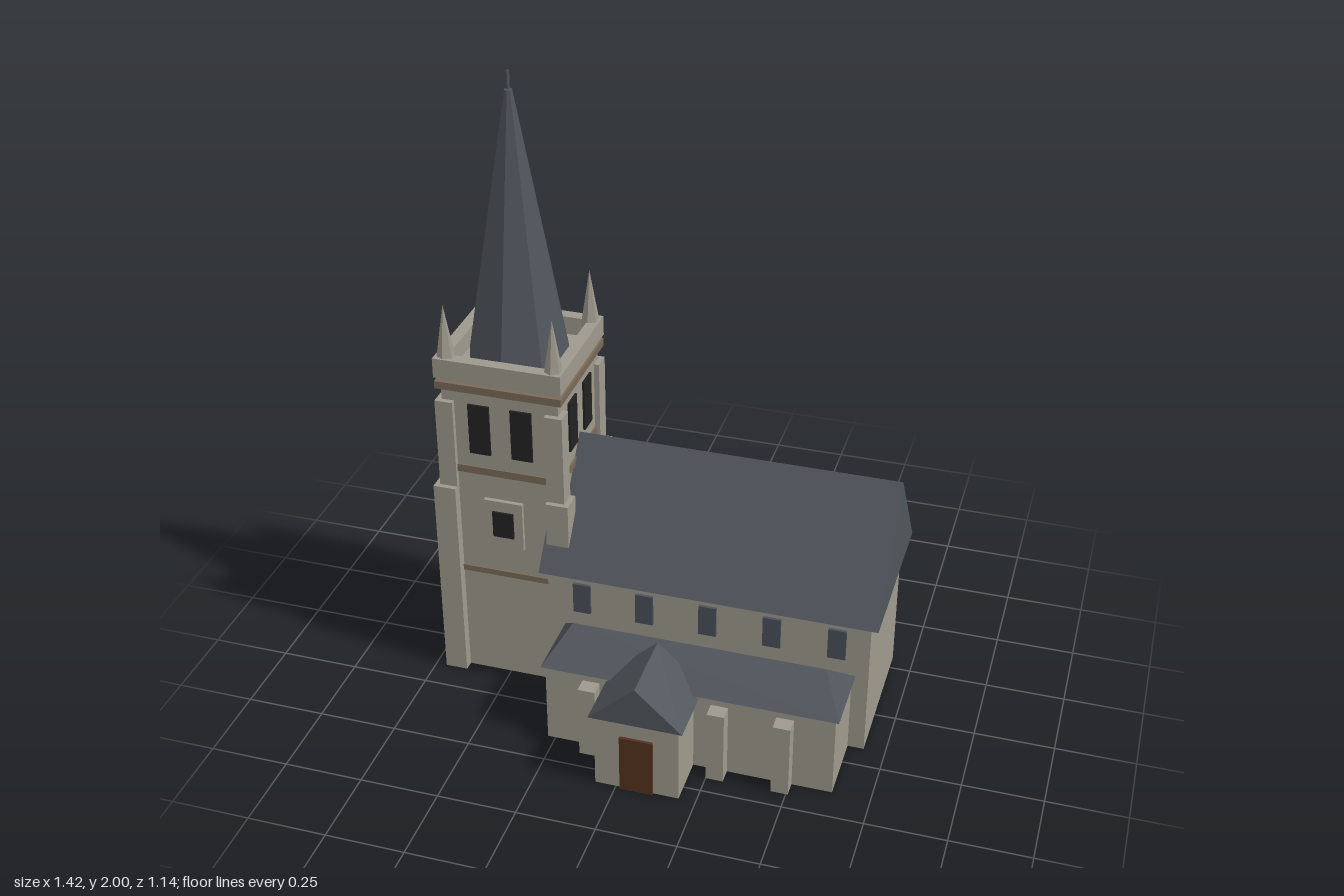
import * as THREE from 'three';
import { ConvexGeometry } from 'three/addons/geometries/ConvexGeometry.js';

const CZ = -0.066; // z of the long axis shared by nave and tower
const TX = -0.495; // x of the tower axis

function makeMaterial(name, color, flatShading = false) {
  const m = new THREE.MeshStandardMaterial({ color, flatShading });
  m.name = name;
  return m;
}

export function createModel() {
  const stone = makeMaterial('stone', 0x9e998d, true);
  const slate = makeMaterial('slate', 0x50555c, true);
  const trim = makeMaterial('brownTrim', 0x7a6a58);
  const wood = makeMaterial('doorWood', 0x52331f);
  const dark = makeMaterial('darkOpening', 0x222222);
  const glass = makeMaterial('windowGlass', 0x4a5159);

  const model = new THREE.Group();
  model.name = 'church';

  function add(parent, name, geometry, material, x = 0, y = 0, z = 0) {
    const mesh = new THREE.Mesh(geometry, material);
    mesh.name = name;
    mesh.position.set(x, y, z);
    parent.add(mesh);
    return mesh;
  }

  // Box given by its extents
  function block(parent, name, material, x0, x1, y0, y1, z0, z1) {
    return add(parent, name, new THREE.BoxGeometry(x1 - x0, y1 - y0, z1 - z0), material,
      (x0 + x1) / 2, (y0 + y1) / 2, (z0 + z1) / 2);
  }

  // Pitched roof along x; hip pulls the ridge ends inward
  function roof(parent, name, x0, x1, y0, y1, zMid, half, hip = 0) {
    const points = [[x0, 0], [x1, 0]].flatMap(([x]) => [
      new THREE.Vector3(x, y0, zMid - half),
      new THREE.Vector3(x, y0, zMid + half),
      new THREE.Vector3(x === x0 ? x0 + hip : x1 - hip, y1, zMid),
    ]);
    return add(parent, name, new ConvexGeometry(points), slate);
  }

  // Nave
  const nave = new THREE.Group();
  nave.name = 'nave';
  model.add(nave);
  block(nave, 'naveWalls', stone, -0.33, 0.683, 0, 0.485, CZ - 0.238, CZ + 0.238);
  roof(nave, 'naveRoof', -0.357, 0.71, 0.48, 0.84, CZ, 0.275);

  // Aisles on both sides, with clerestory windows above
  for (const side of [1, -1]) {
    const aisle = new THREE.Group();
    aisle.name = side > 0 ? 'frontAisle' : 'backAisle';
    aisle.position.z = CZ;
    model.add(aisle);
    const across = (a, b) => (side > 0 ? [a, b] : [-b, -a]);
    block(aisle, 'aisleWalls', stone, -0.275, 0.632, 0, 0.278, ...across(0.2, 0.46));
    roof(aisle, 'aisleRoof', -0.288, 0.643, 0.274, 0.373, side * 0.352, 0.117, 0.068);
    for (let i = 0; i < 4; i++) {
      const x = -0.128 + i * 0.2025;
      block(aisle, 'aisleButtress', stone, x - 0.027, x + 0.027, 0, 0.247, ...across(0.45, 0.508));
    }
    for (let i = 0; i < 5; i++) {
      const x = -0.228 + i * 0.2025;
      block(aisle, 'clerestoryWindow', glass, x - 0.028, x + 0.028, 0.335, 0.44, ...across(0.238, 0.247));
    }
  }

  // Entrance porch
  const porch = new THREE.Group();
  porch.name = 'porch';
  model.add(porch);
  block(porch, 'porchWalls', stone, -0.066, 0.197, 0, 0.265, 0.35, 0.553);
  const porchRoof = roof(porch, 'porchRoof', -0.57, -0.333, 0.26, 0.395, 0, 0.146);
  porchRoof.rotation.y = Math.PI / 2;
  porchRoof.position.x = 0.066;
  block(porch, 'porchDoor', wood, 0.014, 0.117, 0, 0.197, 0.553, 0.562);

  // Tower, built around its own axis
  const tower = new THREE.Group();
  tower.name = 'tower';
  tower.position.set(TX, 0, CZ);
  model.add(tower);
  block(tower, 'towerBody', stone, -0.187, 0.187, 0, 1.085, -0.187, 0.187);
  for (const [y0, y1, h] of [[0.38, 0.4, 0.193], [0.752, 0.777, 0.193], [1.042, 1.067, 0.202]]) {
    block(tower, 'towerBand', trim, -h, h, y0, y1, -h, h);
  }

  // Stepped corner buttresses and pinnacles
  for (const sx of [-1, 1]) {
    for (const sz of [-1, 1]) {
      add(tower, 'lowerButtress', new THREE.BoxGeometry(0.072, 0.7, 0.072), stone, sx * 0.184, 0.35, sz * 0.184);
      add(tower, 'upperButtress', new THREE.BoxGeometry(0.057, 0.3, 0.057), stone, sx * 0.1755, 0.85, sz * 0.1755);
      add(tower, 'pinnacle', new THREE.ConeGeometry(0.031, 0.19, 6), stone, sx * 0.171, 1.22, sz * 0.171);
    }
  }

  // Openings on each tower face
  for (let i = 0; i < 4; i++) {
    const face = new THREE.Group();
    face.name = 'towerFace';
    face.rotation.y = i * Math.PI / 2;
    tower.add(face);
    for (const s of [-1, 1]) {
      block(face, 'belfryOpening', dark, s * 0.068 - 0.034, s * 0.068 + 0.034, 0.826, 0.997, 0.186, 0.194);
    }
    block(face, 'windowFrame', stone, -0.063, 0.063, 0.497, 0.667, 0.18, 0.201);
    block(face, 'towerWindow', dark, -0.034, 0.034, 0.54, 0.63, 0.2, 0.208);
    if (i === 3) block(face, 'towerDoor', wood, -0.065, 0.065, 0, 0.25, 0.186, 0.195);
  }

  // Hollow parapet
  const wall = new THREE.Shape();
  wall.moveTo(-0.203, -0.203).lineTo(0.203, -0.203).lineTo(0.203, 0.203).lineTo(-0.203, 0.203).closePath();
  const well = new THREE.Path();
  well.moveTo(-0.165, -0.165).lineTo(-0.165, 0.165).lineTo(0.165, 0.165).lineTo(0.165, -0.165).closePath();
  wall.holes.push(well);
  const parapet = new THREE.ExtrudeGeometry(wall, { depth: 0.065, bevelEnabled: false });
  parapet.rotateX(-Math.PI / 2);
  add(tower, 'parapet', parapet, stone, 0, 1.08, 0);

  // Octagonal spire and finial
  add(tower, 'spire', new THREE.CylinderGeometry(0.012, 0.166, 0.863, 8), slate, 0, 1.5115, 0);
  add(tower, 'finial', new THREE.CylinderGeometry(0.005, 0.005, 0.07, 6), slate, 0, 1.965, 0);

  return model;
}
